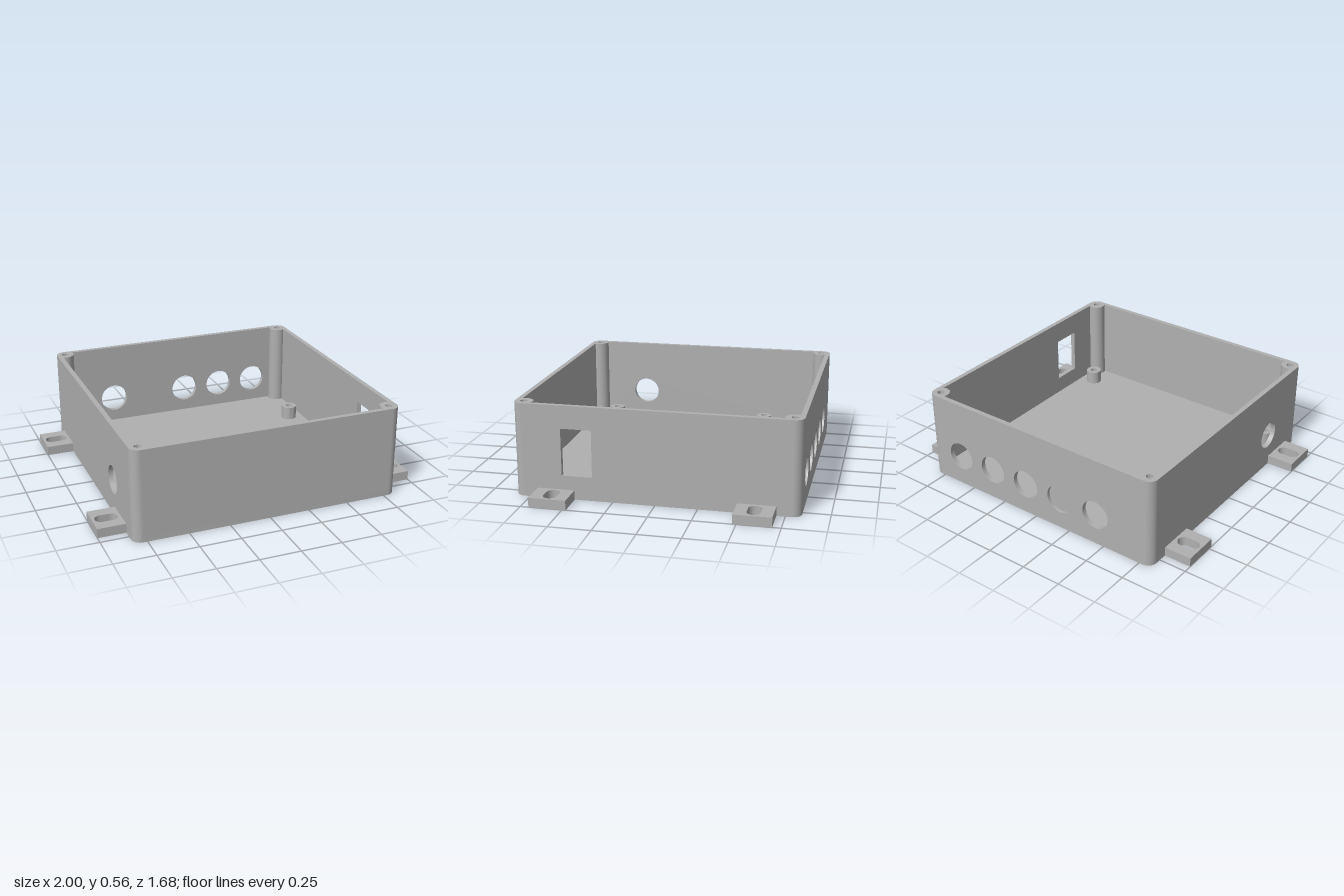
import * as THREE from 'three';
import { toCreasedNormals } from 'three/addons/utils/BufferGeometryUtils.js';

const X = 0.83, Z = 0.84, H = 0.565;      // outer half sizes and height
const T = 0.03, FLOOR = 0.035, R = 0.055; // wall, floor, corner radius
const PX = X - R, PZ = Z - R;             // corner post centres

const grey = new THREE.MeshStandardMaterial({ color: 0xb0b0b0 });
grey.name = 'grey plastic';

// Extrude a shape, keeping arcs smooth and edges sharp
function extrude(name, shape, depth) {
  const geo = new THREE.ExtrudeGeometry(shape, { depth, bevelEnabled: false, curveSegments: 16 });
  const mesh = new THREE.Mesh(toCreasedNormals(geo, 0.6), grey);
  mesh.name = name;
  return mesh;
}

// Extrude upwards from height y
function slab(name, shape, x, y, z, height) {
  const mesh = extrude(name, shape, height);
  mesh.rotation.x = -Math.PI / 2;
  mesh.position.set(x, y, z);
  return mesh;
}

function rect(P, x0, y0, x1, y1) {
  const p = new P();
  p.moveTo(x0, y0).lineTo(x1, y0).lineTo(x1, y1).lineTo(x0, y1).closePath();
  return p;
}

function circle(P, x, y, r) {
  const p = new P();
  p.absarc(x, y, r, 0, Math.PI * 2, false);
  return p;
}

function tube(outer, inner) {
  const s = circle(THREE.Shape, 0, 0, outer);
  s.holes.push(circle(THREE.Path, 0, 0, inner));
  return s;
}

export function createModel() {
  const model = new THREE.Group();
  model.name = 'enclosure';

  // Floor with rounded corners
  const base = new THREE.Shape();
  base.absarc(PX, PZ, R, 0, Math.PI / 2, false);
  base.absarc(-PX, PZ, R, Math.PI / 2, Math.PI, false);
  base.absarc(-PX, -PZ, R, Math.PI, Math.PI * 1.5, false);
  base.absarc(PX, -PZ, R, Math.PI * 1.5, Math.PI * 2, false);
  model.add(slab('floor', base, 0, 0, 0, FLOOR));

  // Front wall
  const front = extrude('frontWall', rect(THREE.Shape, -PX, FLOOR, PX, H), T);
  front.position.z = Z - T;
  model.add(front);

  // Back wall with a row of five cable holes, one of them closed
  const backShape = rect(THREE.Shape, -PX, FLOOR, PX, H);
  for (let i = 0; i < 5; i++) {
    const x = 0.59 - i * 0.258, y = 0.197;
    backShape.holes.push(circle(THREE.Path, x, y, 0.09));
    if (i === 3) {
      const cap = extrude('closedHoleMembrane', circle(THREE.Shape, x, y, 0.09), 0.01);
      cap.position.z = -Z + T - 0.01;
      model.add(cap);
    }
  }
  const back = extrude('backWall', backShape, T);
  back.position.z = -Z;
  model.add(back);

  // Side walls: rectangular cutout on +x, round hole on -x
  for (const side of [1, -1]) {
    const s = rect(THREE.Shape, -PZ, FLOOR, PZ, H);
    s.holes.push(side > 0
      ? rect(THREE.Path, -0.553, 0.143, -0.37, 0.427)
      : circle(THREE.Path, -0.456, 0.222, 0.086));
    const wall = extrude(side > 0 ? 'leftWall' : 'rightWall', s, T);
    wall.rotation.y = Math.PI / 2;
    wall.position.x = side > 0 ? X - T : -X;
    model.add(wall);
  }

  for (const sx of [1, -1]) {
    for (const sz of [1, -1]) {
      // Corner screw post
      model.add(slab('cornerPost', tube(R, 0.021), sx * PX, FLOOR, sz * PZ, H - FLOOR));

      // Board standoff
      model.add(slab('standoff', tube(0.05, 0.021), sx * 0.703, FLOOR, sz > 0 ? 0.648 : -0.408, 0.085));

      // Mounting tab with a slotted hole
      const tab = rect(THREE.Shape, -0.085, -0.111, 0.085, 0.111);
      const slot = new THREE.Path();
      slot.absarc(0.028, 0, 0.04, -Math.PI / 2, Math.PI / 2, false);
      slot.absarc(-0.028, 0, 0.04, Math.PI / 2, Math.PI * 1.5, false);
      slot.closePath();
      tab.holes.push(slot);
      model.add(slab('mountingTab', tab, sx * 0.915, 0, sz * 0.589, 0.057));
    }
  }
  return model;
}
